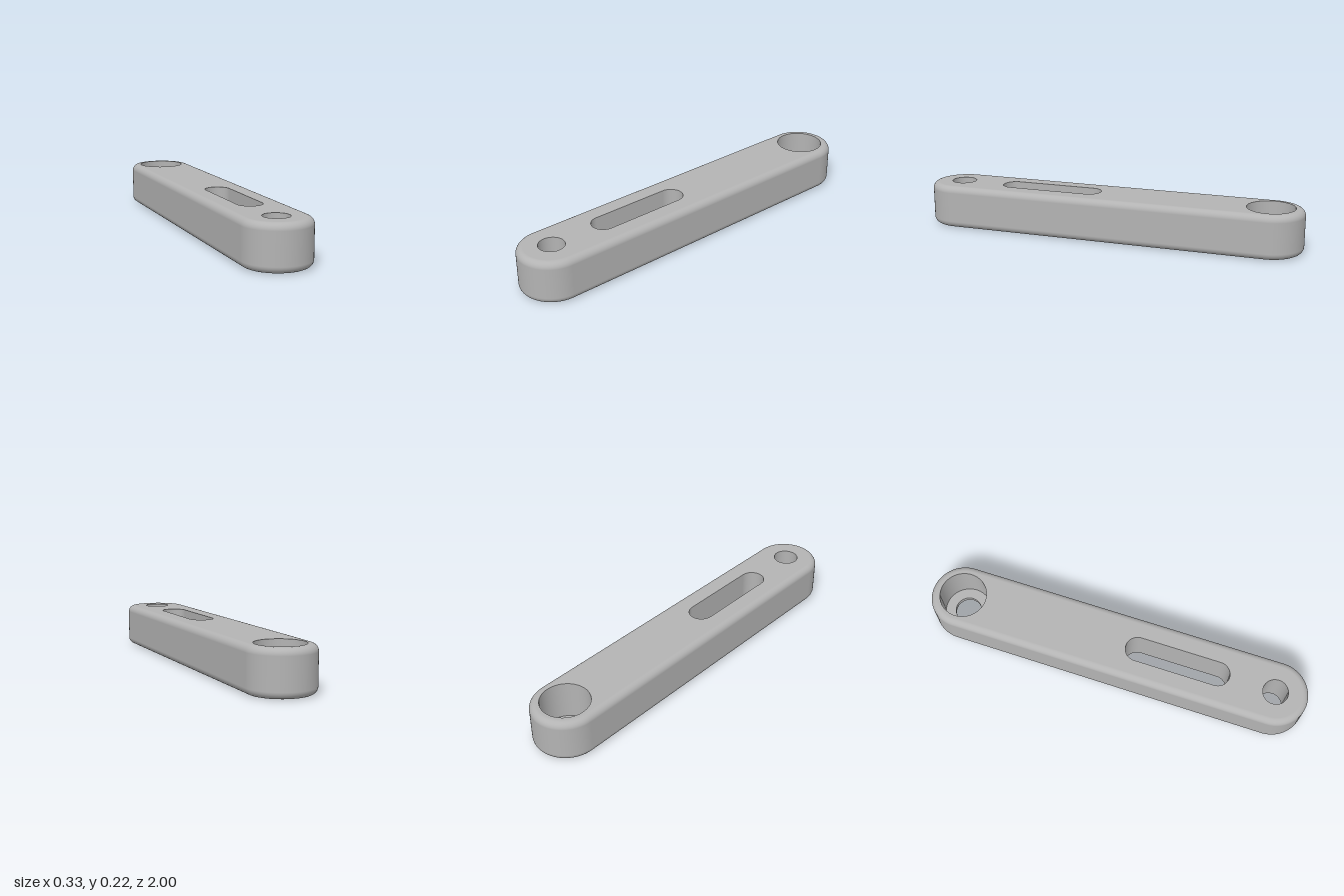
import * as THREE from 'three';

const HEIGHT = 0.223, RADIUS = 0.167, FILLET = 0.034, SEG = 40;
const END = 0.833;          // centre distance of the rounded ends
const LEDGE_Y = 0.025;      // floor of the counterbore

// Closed stadium around the z axis; every point keeps its outward direction
function stadium(r, z0, z1) {
  const pts = [];
  for (const [z, start] of [[z1, 0], [z0, Math.PI]]) {
    for (let i = 0; i <= SEG; i++) {
      const a = start + (i / SEG) * Math.PI, c = Math.cos(a), s = Math.sin(a);
      pts.push({ x: r * c, z: z + r * s, c, s });
    }
  }
  return pts;
}

// Wall swept round a stadium; profile rows are [radius, y, normal out, normal up].
// Upward profiles face outward, downward profiles face into a hole.
function wall(profile, z0, z1) {
  const pos = [], nor = [], idx = [];
  const n = 2 * (SEG + 1) + 1;
  for (const [r, y, nr, ny] of profile) {
    const ring = stadium(r, z0, z1);
    ring.push(ring[0]);
    for (const p of ring) {
      pos.push(p.x, y, p.z);
      nor.push(p.c * nr, ny, p.s * nr);
    }
  }
  for (let j = 0; j < profile.length - 1; j++) {
    for (let i = 0; i < n - 1; i++) {
      const a = j * n + i, b = a + n;
      idx.push(a, b, a + 1, a + 1, b, b + 1);
    }
  }
  const g = new THREE.BufferGeometry();
  g.setAttribute('position', new THREE.Float32BufferAttribute(pos, 3));
  g.setAttribute('normal', new THREE.Float32BufferAttribute(nor, 3));
  g.setIndex(idx);
  return g;
}

// Flat face with holes, facing up (dir 1) or down (dir -1)
function face(holes, y, dir) {
  const outline = ([r, z0, z1]) =>
    stadium(r, z0, z1).map(p => new THREE.Vector2(p.x, -dir * p.z));
  const shape = new THREE.Shape(outline([RADIUS - FILLET, -END, END]));
  for (const h of holes) shape.holes.push(new THREE.Path(outline(h)));
  return new THREE.ShapeGeometry(shape).rotateX(-dir * Math.PI / 2).translate(0, y, 0);
}

export function createModel() {
  const group = new THREE.Group();
  group.name = 'linkBar';
  const grey = new THREE.MeshStandardMaterial({ color: 0xb3b3b3 });
  grey.name = 'grey';
  const add = (name, geometry) => {
    const mesh = new THREE.Mesh(geometry, grey);
    mesh.name = name;
    group.add(mesh);
  };

  // Openings: [radius, z start, z end]
  const slot = [0.063, 0.113, 0.532];
  const frontHole = [0.064, END, END];
  const backHole = [0.067, -END, -END];
  const counterbore = [0.12, -END, -END];

  // Rounded outer side
  const profile = [];
  for (const [start, y] of [[-Math.PI / 2, FILLET], [0, HEIGHT - FILLET]]) {
    for (let i = 0; i <= 10; i++) {
      const a = start + (i / 10) * Math.PI / 2, c = Math.cos(a), s = Math.sin(a);
      profile.push([RADIUS - FILLET + FILLET * c, y + FILLET * s, c, s]);
    }
  }
  add('outerSide', wall(profile, -END, END));

  // Top and bottom faces
  add('topFace', face([slot, frontHole, counterbore], HEIGHT, 1));
  add('bottomFace', face([slot, frontHole, backHole], 0, -1));

  // Inside walls of the openings
  const bore = (name, [r, z0, z1], top, bottom) =>
    add(name, wall([[r, top, -1, 0], [r, bottom, -1, 0]], z0, z1));
  bore('slotWall', slot, HEIGHT, 0);
  bore('frontHoleWall', frontHole, HEIGHT, 0);
  bore('counterboreWall', counterbore, HEIGHT, LEDGE_Y);
  bore('backHoleWall', backHole, LEDGE_Y, 0);

  // Ledge at the bottom of the counterbore
  add('counterboreLedge', new THREE.RingGeometry(backHole[0], counterbore[0], 2 * SEG)
    .rotateX(-Math.PI / 2).translate(0, LEDGE_Y, -END));

  return group;
}
